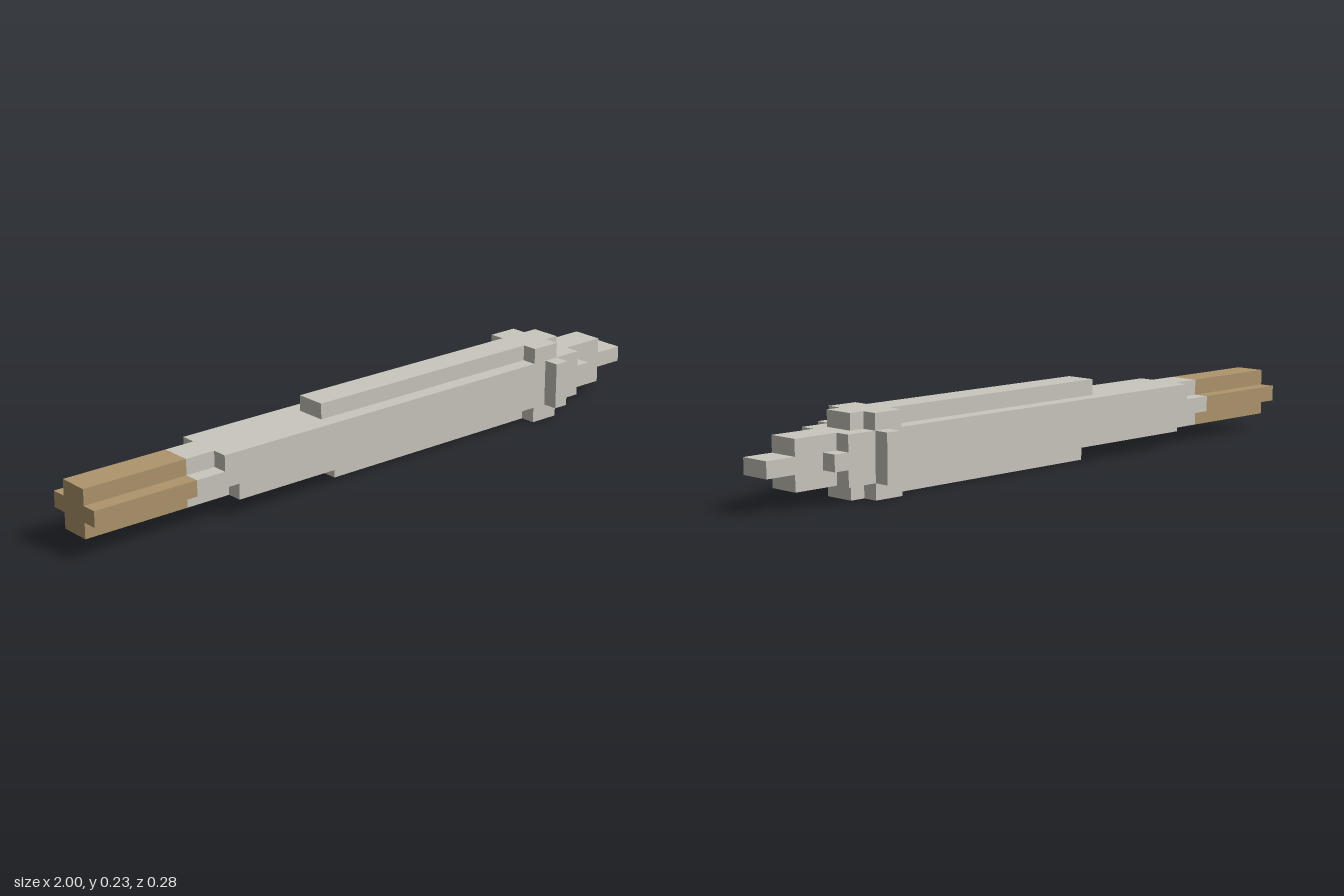
import * as THREE from 'three';

// One grid step: the model is 43 steps long, 5 high and 6 deep
const U = 2 / 43;

export function createModel() {
  const root = new THREE.Group();
  const metal = new THREE.MeshStandardMaterial({ color: 0xc9c6bd });
  metal.name = 'paleMetal';
  const wood = new THREE.MeshStandardMaterial({ color: 0xad956b });
  wood.name = 'wood';

  // Extrudes a [z, y] cross-section along x, from step x0 to step x1
  function bar(name, x0, x1, section, material = metal) {
    const shape = new THREE.Shape(section.map(([z, y]) => new THREE.Vector2(-z * U, y * U)));
    const geometry = new THREE.ExtrudeGeometry(shape, { depth: (x1 - x0) * U, bevelEnabled: false });
    geometry.rotateY(Math.PI / 2);
    const mesh = new THREE.Mesh(geometry, material);
    mesh.name = name;
    mesh.position.x = -1 + x0 * U;
    root.add(mesh);
    return mesh;
  }
  const rect = (z0, z1, y0, y1) => [[z0, y0], [z1, y0], [z1, y1], [z0, y1]];
  // Closes a half profile by mirroring it across z = 0
  const mirrored = (half) => [...half, ...half.slice().reverse().map(([z, y]) => [-z, y])];
  const cross = mirrored([[1, 1], [1, 2], [2, 2], [2, 3], [1, 3], [1, 4]]);
  const tee = mirrored([[1, 1], [1, 2], [2, 2], [2, 4]]);

  // Cross-shaped grip and its collar
  bar('grip', 0, 7, cross, wood);
  bar('gripCollar', 7, 9, cross);
  bar('bodyShoulder', 9, 10, tee);

  // Long body with a ridge above and below
  bar('body', 10, 34, rect(-2, 2, 1, 4));
  bar('topRidge', 17, 34, rect(-1, 1, 4, 5));
  bar('bottomRidge', 18, 34, rect(-1, 1, 0, 1));

  // Raised band with small caps in front of it
  bar('band', 34, 36, rect(-2, 2, 0, 5));
  bar('topCap', 36, 37, rect(-1, 1, 4, 5));
  bar('bottomCap', 36, 37, rect(-1, 1, 0, 1));

  // Side lugs on the band
  for (const [name, z0] of [['frontLug', 2], ['backLug', -3]]) {
    bar(name, 35, 36, rect(z0, z0 + 1, 1, 4));
  }

  // Stepped head narrowing to the tip
  bar('headBase', 36, 38, rect(-2, 2, 1, 4));
  bar('headStep', 38, 39, cross);
  bar('headNeck', 39, 41, rect(-1, 1, 1, 4));
  bar('tip', 41, 43, rect(-1, 1, 2, 3));

  return root;
}
